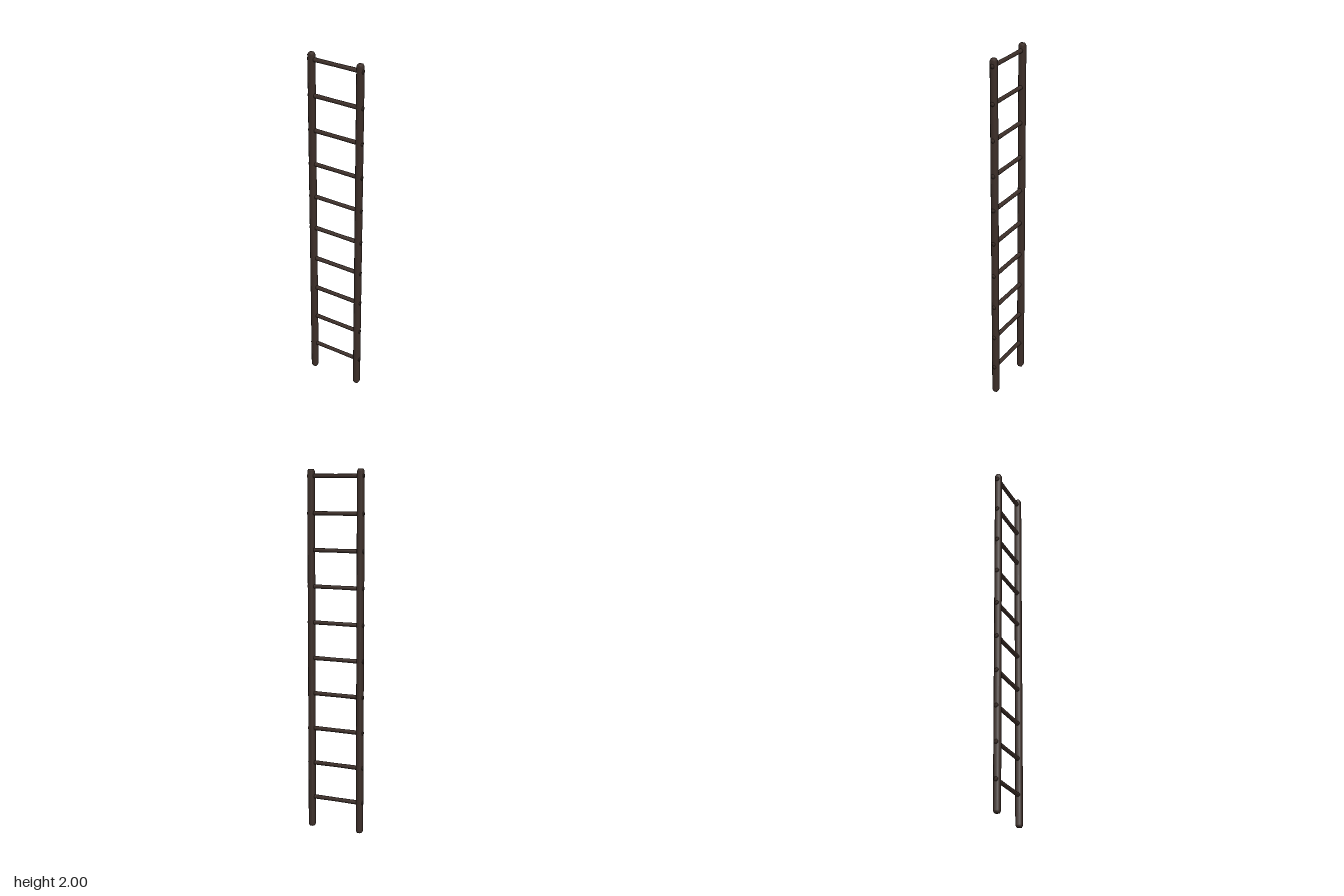
import * as THREE from 'three';

const RAIL_X = 0.147;
const HEIGHT = 2;

// Eight-sided smooth rod turned from a [radius, height] profile, flats facing the axes
function rodGeometry(profile) {
  const points = profile.map(([r, y]) => new THREE.Vector2(r, y));
  return new THREE.LatheGeometry(points, 8).rotateY(Math.PI / 8);
}

// Widens the axis-facing flats so the section becomes a square with cut corners
function squareOff(geometry, factor) {
  const p = geometry.attributes.position;
  for (let i = 0; i < p.count; i++) {
    const x = p.getX(i), z = p.getZ(i);
    if (Math.abs(x) < Math.abs(z)) p.setX(i, x * factor);
    else p.setZ(i, z * factor);
  }
  return geometry;
}

export function createModel() {
  const ladder = new THREE.Group();
  ladder.name = 'ladder';
  const darkWood = new THREE.MeshStandardMaterial({ color: 0x3d2f29 });
  darkWood.name = 'darkWood';

  // Side rails with bevelled ends
  const r = 0.0189;
  const railGeometry = squareOff(rodGeometry([
    [0, 0], [r * 0.7, 0], [r, 0.012],
    [r, HEIGHT - 0.012], [r * 0.7, HEIGHT], [0, HEIGHT],
  ]), 1.55);
  for (const side of [-1, 1]) {
    const rail = new THREE.Mesh(railGeometry, darkWood);
    rail.name = side > 0 ? 'leftRail' : 'rightRail';
    rail.position.x = side * RAIL_X;
    ladder.add(rail);
  }

  // Rungs, slightly slimmer in the middle, each rolled about its own length
  const half = 0.166;
  for (let i = 0; i < 10; i++) {
    const geometry = rodGeometry([
      [0, -half], [0.0125, -half], [0.0112, 0], [0.0125, half], [0, half],
    ]);
    geometry.rotateY(i * 0.9).rotateZ(Math.PI / 2);
    const rung = new THREE.Mesh(geometry, darkWood);
    rung.name = 'rung' + (i + 1);
    rung.position.y = 0.172 + i * 0.199;
    ladder.add(rung);
  }
  return ladder;
}
